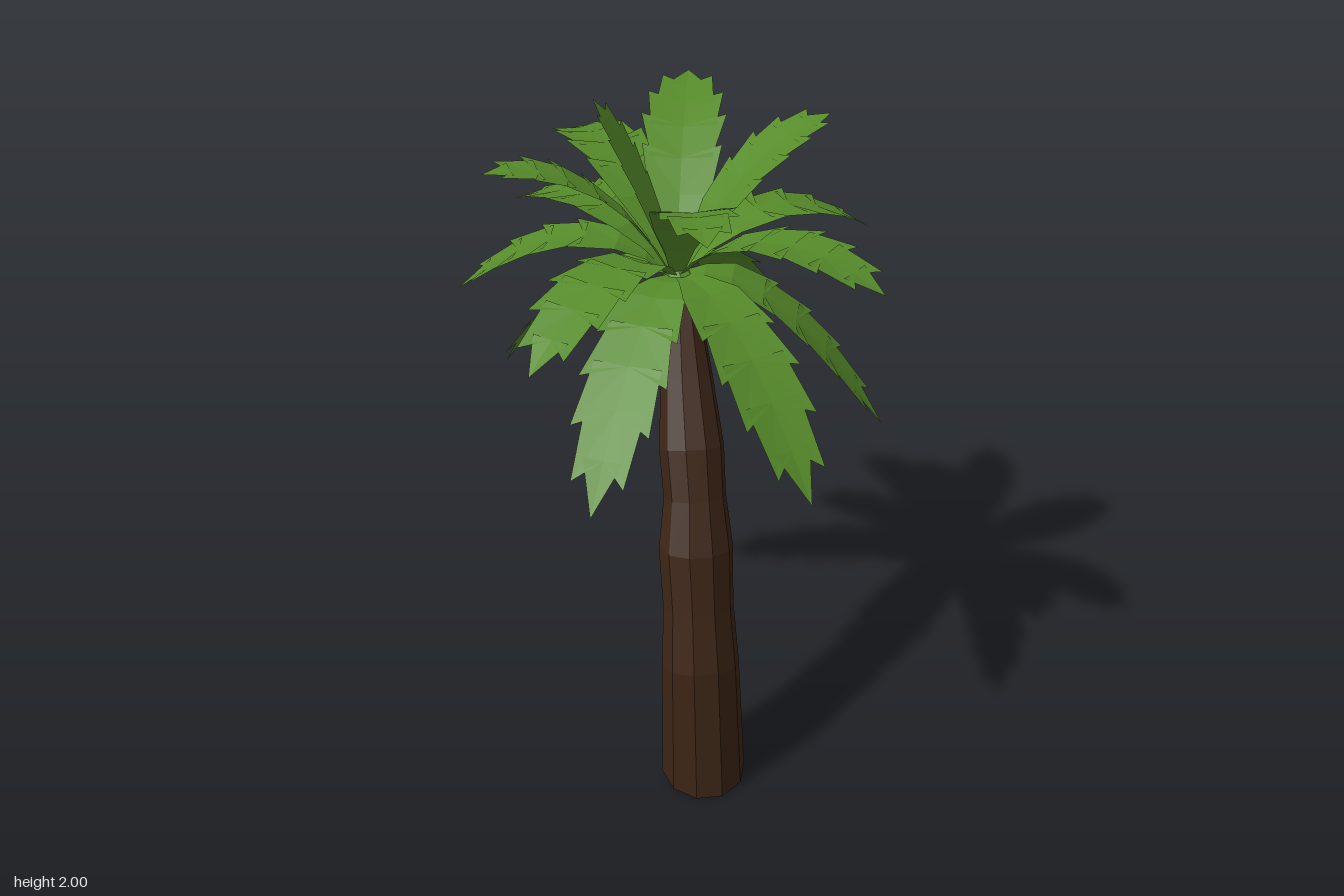
import * as THREE from 'three';

const bark = new THREE.MeshStandardMaterial({ color: 0x3b2415, flatShading: true });
const green = new THREE.MeshStandardMaterial({ color: 0x568b2a, flatShading: true, side: THREE.DoubleSide });

function mesh(name, points, material) {
  const geometry = new THREE.BufferGeometry().setFromPoints(points);
  geometry.computeVertexNormals();
  const m = new THREE.Mesh(geometry, material);
  m.name = name;
  return m;
}

// Capped tube through rings [x, y, z, radius, backward tilt]
function stem(name, rings, material, sides = 10) {
  const centres = rings.map(r => new THREE.Vector3(r[0], r[1], r[2]));
  const last = rings.length - 1;
  const loops = rings.map(([, , , radius, tilt], i) => Array.from({ length: sides }, (_, k) => {
    const a = (k / sides) * Math.PI * 2;
    return new THREE.Vector3(Math.cos(a), 0, -Math.sin(a)).multiplyScalar(radius)
      .applyAxisAngle(new THREE.Vector3(1, 0, 0), -tilt).add(centres[i]);
  }));
  const out = [];
  for (let k = 0; k < sides; k++) {
    const n = (k + 1) % sides;
    for (let i = 0; i < last; i++) {
      const [a, b, c, d] = [loops[i][k], loops[i][n], loops[i + 1][n], loops[i + 1][k]];
      out.push(a, b, c, a, c, d);
    }
    out.push(centres[0], loops[0][n], loops[0][k]);
    out.push(centres[last], loops[last][k], loops[last][n]);
  }
  return mesh(name, out, material);
}

// Arched leaf, slightly channelled, with coarse forward-pointing teeth along both edges
const STATIONS = [0, 0.13, 0.28, 0.44, 0.6, 0.74, 0.87, 1];
const WIDTHS = [0.02, 0.05, 0.095, 0.125, 0.135, 0.12, 0.08, 0];
const FOLD = 0.1;

function frond(root, tip, arch) {
  const control = root.clone().lerp(tip, 0.4);
  control.y += arch;
  const curve = new THREE.QuadraticBezierCurve3(root, control, tip);
  const side = new THREE.Vector3(tip.z - root.z, 0, root.x - tip.x).normalize();
  const scale = Math.min(1, root.distanceTo(tip) / 0.7);
  const edge = (t, w, s) => {
    const normal = curve.getTangent(t).cross(side).normalize();
    return curve.getPoint(t).addScaledVector(side, s * w * scale).addScaledVector(normal, FOLD * w * scale);
  };
  const out = [];
  for (const s of [1, -1]) {
    for (let i = 0; i < STATIONS.length - 1; i++) {
      const [t0, t1] = [STATIONS[i], STATIONS[i + 1]];
      const notch = i > 2 ? 0.76 : 1;
      const reach = i > 1 && i < 6 ? 0.06 : 0;
      const a = curve.getPoint(t0), b = curve.getPoint(t1);
      const c = edge(t1 + reach, WIDTHS[i + 1], s);
      const d = edge(t0, WIDTHS[i] * notch, s);
      if (s > 0) out.push(a, d, c, a, c, b);
      else out.push(a, c, d, a, b, c);
    }
  }
  return mesh('frond', out, green);
}

export function createModel() {
  const model = new THREE.Group();
  model.name = 'palmTree';

  // Leaning trunk with slight swellings
  model.add(stem('trunk', [
    [0.01, 0.02, 0.588, 0.13, -0.15], [0.005, 0.39, 0.541, 0.119, 0.3], [0.005, 0.57, 0.49, 0.108, 0.25],
    [0.005, 0.745, 0.43, 0.113, 0.22], [0.01, 0.885, 0.37, 0.095, 0.3], [0.01, 1.015, 0.30, 0.099, 0.4],
    [0.012, 1.19, 0.18, 0.08, 0.5], [0.015, 1.4, 0.06, 0.05, 0.5],
  ], bark));

  // Green heart that the fronds grow from
  model.add(stem('crown', [
    [0.015, 1.38, 0.07, 0.05, 0.5], [0.01, 1.45, 0.035, 0.056, 0.4], [0, 1.49, 0.02, 0.025, 0.3],
  ], green, 8));

  // Frond tips with arch height: x, y, z, arch
  const tips = [
    // upper fronds
    [-0.235, 2.0, -0.04, 0.09], [0.13, 1.92, -0.6, 0.2], [0.49, 1.91, -0.1, 0.2],
    [-0.57, 1.84, 0.12, 0.26], [0, 1.78, 0.61, 0.3], [-0.27, 1.71, -0.69, 0.32],
    // middle fronds
    [-0.45, 1.56, -0.45, 0.25], [0.52, 1.57, 0.51, 0.26], [0.65, 1.51, -0.17, 0.29],
    [-0.48, 1.42, 0.58, 0.28], [0.21, 1.41, -0.72, 0.27], [-0.66, 1.39, -0.13, 0.29],
    // drooping fronds
    [0.32, 1.11, -0.5, 0.26], [-0.52, 1.06, -0.28, 0.26], [0.63, 0.99, 0.19, 0.27],
    [0.29, 1.03, 0.71, 0.26], [-0.33, 1.01, 0.66, 0.26],
  ];
  const fronds = new THREE.Group();
  fronds.name = 'fronds';
  for (const [x, y, z, arch] of tips) {
    const root = new THREE.Vector3(x * 0.03, 1.47, 0.03 + z * 0.03);
    fronds.add(frond(root, new THREE.Vector3(x, y, z), arch));
  }
  model.add(fronds);
  return model;
}
